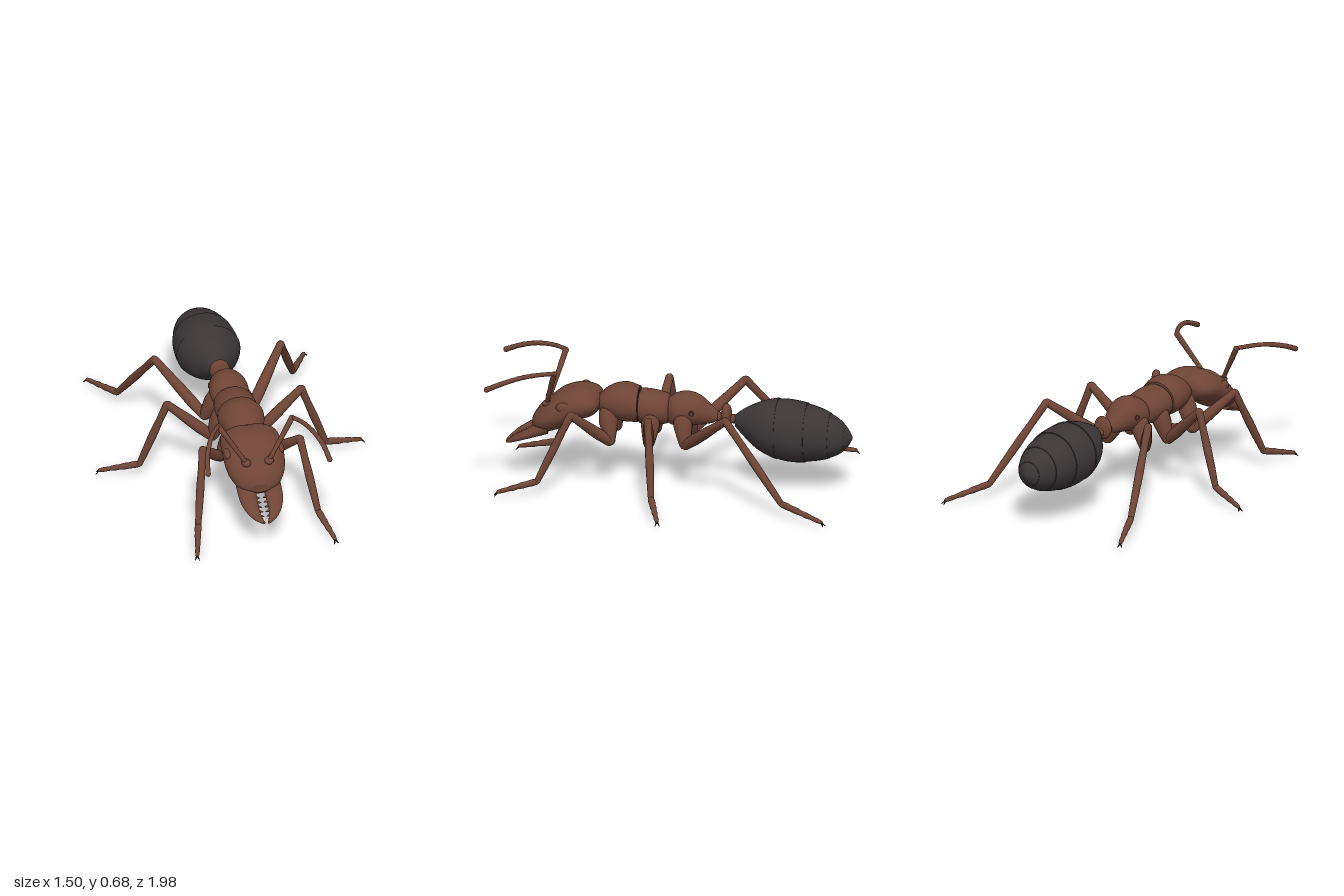
import * as THREE from 'three';

const V = (x, y, z) => new THREE.Vector3(x, y, z);
const mat = (name, color) => {
  const m = new THREE.MeshStandardMaterial({ color });
  m.name = name;
  return m;
};

export function createModel() {
  const brown = mat('brown shell', 0x6e4435);
  const charcoal = mat('charcoal abdomen', 0x3b3536);
  const dark = mat('dark claw', 0x241a18);
  const ant = new THREE.Group();
  ant.name = 'ant';

  const add = (name, geo, material, parent = ant) => {
    const m = new THREE.Mesh(geo, material);
    m.name = name;
    parent.add(m);
    return m;
  };

  // Smooth body from oval sections [z, top, bottom, halfWidth, centreX], listed back to front
  function loft(sections, { from = 0, to = 1, flare = 0, groove = 0, rows = 28, sides = 36 } = {}) {
    const heights = new THREE.CatmullRomCurve3(sections.map(s => V(s[0], s[1], s[2])), false, 'catmullrom');
    const widths = new THREE.CatmullRomCurve3(sections.map(s => V(s[3], s[4] || 0, 0)), false, 'catmullrom');
    const pos = [], idx = [], ends = [];
    for (let i = 0; i <= rows; i++) {
      const t = i / rows, u = from + (to - from) * t, k = 1 + flare * (1 - 2 * t);
      const h = heights.getPoint(u), w = widths.getPoint(u);
      const mid = (h.y + h.z) / 2, half = Math.abs(h.y - h.z) / 2 * k;
      if (i === 0 || i === rows) ends.push([w.y, mid, h.x, i]);
      for (let j = 0; j < sides; j++) {
        const a = j / sides * Math.PI * 2, c = Math.cos(a), s = Math.sin(a);
        const dip = s > 0 ? groove * Math.exp(-c * c * 30) : 0;
        pos.push(w.y + Math.abs(w.x) * k * c, mid + half * s - dip, h.x);
      }
    }
    for (let i = 0; i < rows; i++) for (let j = 0; j < sides; j++) {
      const a = i * sides + j, b = i * sides + (j + 1) % sides;
      idx.push(a, b, b + sides, a, b + sides, a + sides);
    }
    // separate end caps keep the rims crisp
    ends.forEach(([x, y, z, row], e) => {
      const centre = pos.length / 3;
      pos.push(x, y, z);
      for (let j = 0; j < sides; j++) {
        const p = (row * sides + j) * 3;
        pos.push(pos[p], pos[p + 1], pos[p + 2]);
      }
      for (let j = 0; j < sides; j++) {
        const a = centre + 1 + j, b = centre + 1 + (j + 1) % sides;
        idx.push(centre, e ? a : b, e ? b : a);
      }
    });
    const g = new THREE.BufferGeometry();
    g.setAttribute('position', new THREE.Float32BufferAttribute(pos, 3));
    g.setIndex(idx);
    g.computeVertexNormals();
    return g;
  }

  // Round-ended limb from a to b with radii spread along its length
  function bone(name, a, b, radii, material, parent) {
    const dir = b.clone().sub(a), len = dir.length(), n = radii.length - 1;
    const r0 = radii[0], r1 = radii[n];
    const profile = [new THREE.Vector2(0, -r0 * 0.8), new THREE.Vector2(r0 * 0.7, -r0 * 0.5)];
    radii.forEach((r, i) => profile.push(new THREE.Vector2(r, len * i / n)));
    profile.push(new THREE.Vector2(r1 * 0.7, len + r1 * 0.5), new THREE.Vector2(0, len + r1 * 0.8));
    const m = add(name, new THREE.LatheGeometry(profile, 14), material, parent);
    m.position.copy(a);
    m.quaternion.setFromUnitVectors(V(0, 1, 0), dir.normalize());
  }

  function ball(name, p, sx, sy, sz, material, parent) {
    const m = add(name, new THREE.SphereGeometry(1, 20, 14), material, parent);
    m.position.copy(p);
    m.scale.set(sx, sy, sz);
    return m;
  }

  // Abdomen: overlapping plates, each flaring at its rear rim
  const abdomen = [
    [-0.99, 0.32, 0.30, 0.008], [-0.96, 0.365, 0.25, 0.06], [-0.90, 0.42, 0.205, 0.11],
    [-0.80, 0.47, 0.175, 0.152], [-0.68, 0.50, 0.163, 0.174], [-0.58, 0.507, 0.177, 0.176],
    [-0.48, 0.485, 0.22, 0.14], [-0.40, 0.45, 0.285, 0.08], [-0.345, 0.41, 0.34, 0.03]];
  const seams = [0, 1.2, 2.35, 3.5, 5, 8];
  for (let i = 0; i < 5; i++) {
    add('abdomenPlate', loft(abdomen, { from: seams[i] / 8, to: seams[i + 1] / 8, flare: 0.014, rows: 14 }), charcoal);
  }

  // Waist: thin stalk with a raised node
  bone('waistStalk', V(0, 0.38, -0.37), V(0, 0.40, -0.2), [0.026, 0.024, 0.03], brown);
  ball('waistNode', V(0, 0.405, -0.295), 0.056, 0.065, 0.03, brown);

  // Thorax in three pieces
  add('rearThorax', loft([
    [-0.25, 0.42, 0.37, 0.025], [-0.21, 0.455, 0.355, 0.055], [-0.15, 0.507, 0.345, 0.086],
    [-0.08, 0.527, 0.335, 0.105], [-0.02, 0.515, 0.335, 0.104], [0.02, 0.49, 0.345, 0.075],
    [0.04, 0.46, 0.37, 0.05]]), brown);
  add('middleThorax', loft([
    [0.01, 0.47, 0.36, 0.06], [0.03, 0.505, 0.345, 0.098], [0.08, 0.52, 0.335, 0.114],
    [0.13, 0.528, 0.335, 0.116], [0.178, 0.53, 0.34, 0.113]]), brown);
  add('thoraxSeam', loft([[0.165, 0.525, 0.35, 0.108], [0.2, 0.525, 0.35, 0.108]], { rows: 2 }), dark);
  add('frontThorax', loft([
    [0.186, 0.54, 0.345, 0.116], [0.25, 0.56, 0.345, 0.127], [0.31, 0.553, 0.355, 0.12],
    [0.36, 0.53, 0.375, 0.1], [0.40, 0.495, 0.405, 0.07], [0.42, 0.47, 0.43, 0.03]]), brown);
  bone('neck', V(0, 0.45, 0.37), V(0, 0.45, 0.46), [0.05, 0.045, 0.05], brown);

  // Head with a shallow crease along the crown
  add('head', loft([
    [0.395, 0.48, 0.44, 0.08], [0.412, 0.508, 0.40, 0.135], [0.45, 0.532, 0.37, 0.16],
    [0.52, 0.54, 0.345, 0.167], [0.60, 0.517, 0.30, 0.168], [0.66, 0.473, 0.275, 0.158],
    [0.71, 0.43, 0.268, 0.135], [0.75, 0.387, 0.275, 0.10], [0.772, 0.35, 0.295, 0.05]],
  { groove: 0.008, rows: 36, sides: 48 }), brown);

  const legs = {
    front: [V(0.07, 0.41, 0.35), V(0.13, 0.26, 0.33), V(0.272, 0.45, 0.525), V(0.335, 0.08, 0.70), V(0.385, 0.025, 0.91)],
    middle: [V(0.075, 0.40, 0.11), V(0.13, 0.255, 0.115), V(0.375, 0.475, 0.08), V(0.52, 0.08, 0.04), V(0.73, 0.025, -0.025)],
    hind: [V(0.065, 0.40, -0.06), V(0.13, 0.26, -0.085), V(0.352, 0.492, -0.345), V(0.49, 0.08, -0.675), V(0.605, 0.025, -0.915)],
  };

  for (const s of [1, -1]) {
    const side = s > 0 ? 'left' : 'right';
    const flip = p => V(p.x * s, p.y, p.z);

    // Legs: hip, thigh, shin, beaded foot and two claws
    for (const [place, pts] of Object.entries(legs)) {
      const leg = new THREE.Group();
      leg.name = `${side}${place}Leg`;
      ant.add(leg);
      const [hip, joint, knee, ankle, toe] = pts.map(flip);
      bone('hip', hip, joint, [0.05, 0.052, 0.042, 0.03], brown, leg);
      bone('thigh', joint, knee, [0.027, 0.032, 0.03, 0.025, 0.022], brown, leg);
      bone('shin', knee, ankle, [0.022, 0.02, 0.023, 0.021, 0.017], brown, leg);
      bone('foot', ankle, toe, [0.017, 0.019, 0.017, 0.018, 0.014, 0.016, 0.012, 0.013, 0.01], brown, leg);
      const dir = toe.clone().sub(ankle).setY(0).normalize();
      for (const k of [1, -1]) {
        const tip = toe.clone().addScaledVector(dir, 0.018).add(V(-dir.z * 0.012 * k, -0.02, dir.x * 0.012 * k));
        bone('claw', toe, tip, [0.006, 0.002], dark, leg);
      }
    }

    // Antenna: straight base piece, then a curved beaded whip
    const antenna = new THREE.Group();
    antenna.name = `${side}Antenna`;
    ant.add(antenna);
    const elbow = flip(V(0.207, 0.663, 0.625));
    ball('antennaSocket', flip(V(0.063, 0.44, 0.685)), 0.026, 0.02, 0.03, brown, antenna);
    bone('antennaBase', flip(V(0.062, 0.44, 0.69)), elbow, [0.012, 0.013, 0.015, 0.016], brown, antenna);
    const whip = new THREE.CatmullRomCurve3([elbow, ...[
      V(0.25, 0.668, 0.695), V(0.292, 0.66, 0.79), V(0.325, 0.633, 0.89), V(0.34, 0.595, 0.982)].map(flip)]);
    for (let i = 0; i < 11; i++) {
      const r = 0.0105 + i * 0.0003;
      bone('antennaBead', whip.getPointAt(i / 11), whip.getPointAt((i + 1) / 11), [r, r + 0.001, r + 0.0015], brown, antenna);
    }

    // Eye: shallow oval bulge on the cheek
    ball(`${side}Eye`, flip(V(0.146, 0.445, 0.585)), 0.022, 0.03, 0.042, brown);

    // Breathing pore on the rear thorax
    const pore = add(`${side}Pore`, new THREE.TorusGeometry(0.012, 0.004, 8, 16), brown);
    pore.position.copy(flip(V(0.099, 0.435, -0.115)));
    pore.rotation.y = Math.PI / 2 + s * 0.3;

    // Jaw: tapering blade with inner teeth
    const jaw = new THREE.Group();
    jaw.name = `${side}Jaw`;
    ant.add(jaw);
    add('jawBlade', loft([
      [0.68, 0.36, 0.27, 0.045, 0.078 * s], [0.74, 0.325, 0.25, 0.05, 0.073 * s],
      [0.80, 0.285, 0.232, 0.047, 0.071 * s], [0.86, 0.25, 0.21, 0.035, 0.06 * s],
      [0.90, 0.218, 0.193, 0.022, 0.038 * s], [0.922, 0.198, 0.185, 0.008, 0.014 * s]],
    { rows: 20, sides: 24 }), brown, jaw);
    for (let i = 0; i < 5; i++) {
      const z = 0.78 + i * 0.026, y = 0.27 - i * 0.0133;
      bone('tooth', flip(V(0.034, y, z)), flip(V(0.008, y - 0.003, z + 0.006)), [0.011, 0.007, 0.002], brown, jaw);
    }
  }
  return ant;
}
